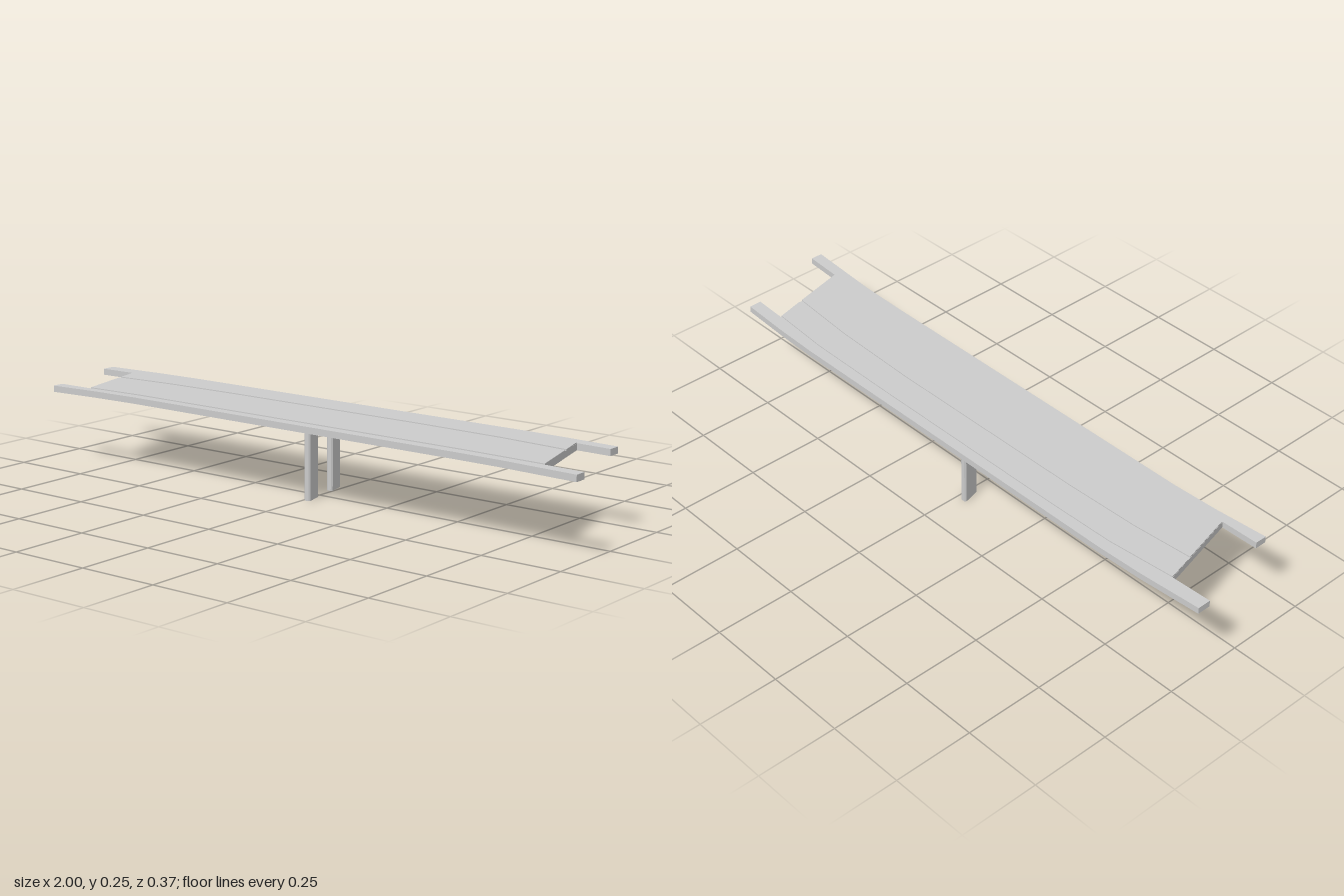
import * as THREE from 'three';

const material = new THREE.MeshStandardMaterial({ color: 0xcccccc, flatShading: true });

// Upright prism from a plan outline of [x, z] points
function prism(name, plan, bottom, top) {
  const shape = new THREE.Shape(plan.map(([x, z]) => new THREE.Vector2(x, -z)));
  const geometry = new THREE.ExtrudeGeometry(shape, { depth: top - bottom, bevelEnabled: false });
  geometry.rotateX(-Math.PI / 2);
  geometry.translate(0, bottom, 0);
  const mesh = new THREE.Mesh(geometry, material);
  mesh.name = name;
  return mesh;
}

export function createModel() {
  const group = new THREE.Group();
  group.name = 'bridge';

  // Deck with flared wing walls and skewed ends
  group.add(prism('deck', [
    [-1, -0.165], [-0.8, -0.179], [-0.65, -0.184], [0.35, -0.185], [0.6, -0.185], [0.75, -0.181], [0.914, -0.172],
    [0.914, -0.132], [0.803, -0.137], [0.873, 0.138], [1, 0.145],
    [1, 0.183], [0.75, 0.167], [0.6, 0.164], [-0.6, 0.162], [-0.75, 0.168], [-0.925, 0.182],
    [-0.925, 0.144], [-0.803, 0.142], [-0.87, -0.127], [-1, -0.122],
  ], 0.227, 0.247));

  // Raised carriageway
  group.add(prism('carriageway', [
    [-0.803, 0.14], [-0.6, 0.13], [0.6, 0.13], [0.873, 0.138],
    [0.83, -0.032], [0.6, -0.05], [0.3, -0.058], [-0.4, -0.057], [-0.65, -0.05], [-0.846, -0.034],
  ], 0.247, 0.25));

  // Raised walkway, set off by a narrow groove
  group.add(prism('walkway', [
    [-0.85, -0.046], [-0.65, -0.062], [-0.4, -0.069], [0.3, -0.07], [0.6, -0.062], [0.827, -0.044],
    [0.803, -0.134], [0.6, -0.148], [0.3, -0.151], [-0.4, -0.151], [-0.65, -0.147], [-0.869, -0.127],
  ], 0.247, 0.25));

  // Two skewed wall piers with chamfered ends
  const skew = 0.26, length = 0.031, half = 0.011, cut = 0.005;
  const section = [
    [half, length - cut], [half - cut, length], [cut - half, length], [-half, length - cut],
    [-half, cut - length], [cut - half, -length], [half - cut, -length], [half, cut - length],
  ];
  for (const [name, cx, cz] of [['frontPier', 0.006, 0.0475], ['backPier', -0.019, -0.091]]) {
    group.add(prism(name, section.map(([x, z]) => [cx + x + skew * z, cz + z]), 0, 0.227));
  }
  return group;
}
